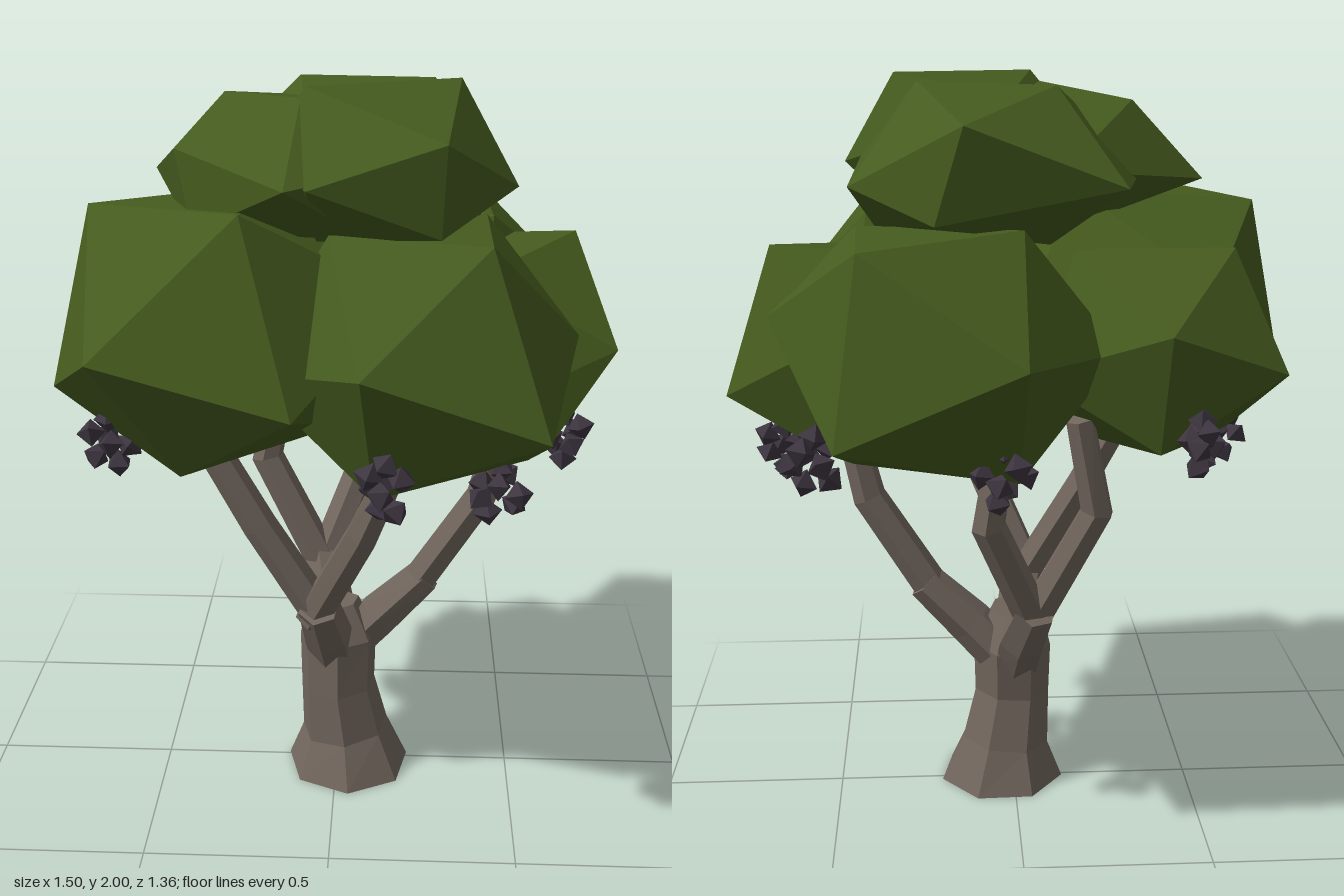
import * as THREE from 'three';

const V = (p) => new THREE.Vector3(...p);

// Recompute one normal per face for a faceted look
function facet(geo) {
  const g = geo.index ? geo.toNonIndexed() : geo;
  g.computeVertexNormals();
  return g;
}

// Faceted limb through points [x, y, z, radius], closed at both ends
function limbGeometry(points, sides, twist) {
  const pos = [], idx = [];
  const c = points.map((p) => V(p.slice(0, 3)));
  const last = points.length - 1;
  c.forEach((p, i) => {
    const t = c[Math.min(i + 1, last)].clone().sub(c[Math.max(i - 1, 0)]).normalize();
    if (p.y === 0) t.set(0, 1, 0);
    const u = new THREE.Vector3(1, 0, 0).addScaledVector(t, -t.x).normalize();
    const v = t.clone().cross(u);
    for (let k = 0; k < sides; k++) {
      const a = twist + (k / sides) * Math.PI * 2;
      const q = p.clone()
        .addScaledVector(u, Math.cos(a) * points[i][3])
        .addScaledVector(v, Math.sin(a) * points[i][3]);
      pos.push(q.x, q.y, q.z);
    }
  });
  for (let i = 0; i < last; i++) {
    for (let k = 0; k < sides; k++) {
      const a = i * sides + k, b = i * sides + (k + 1) % sides;
      idx.push(a, b, b + sides, a, b + sides, a + sides);
    }
  }
  for (let k = 1; k < sides - 1; k++) {
    const e = last * sides;
    idx.push(0, k + 1, k, e, e + k, e + k + 1);
  }
  const g = new THREE.BufferGeometry();
  g.setAttribute('position', new THREE.Float32BufferAttribute(pos, 3));
  g.setIndex(idx);
  return facet(g);
}

// Right-handed basis whose x follows a and whose y leans towards b
function basis(a, b) {
  const x = a.clone().normalize();
  const z = x.clone().cross(b).normalize();
  return new THREE.Matrix4().makeBasis(x, z.clone().cross(x), z);
}

// Squashed icosahedron with an edge along the first two corners;
// its nearest points are then pulled onto all the corners
function clumpGeometry(center, size, ...corners) {
  const c = V(center), s = V(size);
  const local = (w) => V(w).sub(c).divide(s);
  const phi = (1 + Math.sqrt(5)) / 2;
  const from = basis(V([1, phi, 0]), V([-1, phi, 0]));
  const turn = basis(local(corners[0]), local(corners[1])).multiply(from.transpose());
  const g = new THREE.IcosahedronGeometry(1, 0);
  g.applyMatrix4(turn);
  g.scale(...size);
  g.translate(...center);
  const p = g.attributes.position;
  const at = (i) => new THREE.Vector3().fromBufferAttribute(p, i);
  for (const corner of corners) {
    const w = V(corner);
    const gaps = Array.from({ length: p.count }, (_, i) => at(i).distanceTo(w));
    const nearest = at(gaps.indexOf(Math.min(...gaps)));
    for (let i = 0; i < p.count; i++) {
      if (at(i).distanceTo(nearest) < 1e-3) p.setXYZ(i, ...corner);
    }
  }
  return facet(g);
}

export function createModel() {
  const tree = new THREE.Group();
  tree.name = 'tree';
  const bark = new THREE.MeshStandardMaterial({ color: 0x71665d });
  bark.name = 'bark';
  const leaf = new THREE.MeshStandardMaterial({ color: 0x455b1e });
  leaf.name = 'leaf green';
  const berry = new THREE.MeshStandardMaterial({ color: 0x3d3540 });
  berry.name = 'dark berry';

  const add = (parent, name, geo, mat) => {
    const m = new THREE.Mesh(geo, mat);
    m.name = name;
    parent.add(m);
    return m;
  };

  // Trunk with a flared foot
  add(tree, 'trunk', limbGeometry([
    [0.035, 0, 0.025, 0.178], [0.025, 0.12, 0.02, 0.126], [0.005, 0.27, 0.03, 0.108],
    [0.005, 0.42, 0.02, 0.112], [-0.01, 0.52, 0.01, 0.075],
  ], 7, 0.25), bark);

  // Forks leaving the trunk, then the limbs that carry the leaves
  const limbs = {
    sideFork: [[0.03, 0.38, 0, 0.065], [0.12, 0.48, 0.01, 0.065], [0.25, 0.61, 0.01, 0.053]],
    sideLimb: [[0.21, 0.56, 0.01, 0.05], [0.4, 0.86, 0.02, 0.047], [0.46, 1.12, 0.03, 0.038]],
    frontFork: [[-0.01, 0.38, 0.05, 0.068], [-0.02, 0.47, 0.11, 0.068], [-0.04, 0.6, 0.2, 0.058]],
    frontLimb: [[-0.06, 0.55, 0.17, 0.05], [0.08, 0.86, 0.29, 0.047], [0.18, 1.12, 0.35, 0.038]],
    frontOuterLimb: [[-0.03, 0.55, 0.17, 0.05], [-0.2, 0.83, 0.175, 0.047], [-0.36, 1.12, 0.17, 0.042]],
    backFork: [[-0.01, 0.38, -0.02, 0.068], [-0.02, 0.47, -0.09, 0.068], [-0.05, 0.6, -0.19, 0.058]],
    backLimb: [[-0.05, 0.55, -0.16, 0.05], [0.08, 0.87, -0.28, 0.047], [0.04, 1.14, -0.3, 0.039]],
    backOuterLimb: [[-0.04, 0.55, -0.16, 0.05], [-0.21, 0.88, -0.2, 0.047], [-0.16, 1.14, -0.22, 0.039]],
  };
  const branches = new THREE.Group();
  branches.name = 'branches';
  tree.add(branches);
  for (const [name, pts] of Object.entries(limbs)) {
    add(branches, name, limbGeometry(pts, 6, 0.3), bark);
  }

  // Leaf clumps: centre, half sizes, then corners
  const clumps = {
    frontRightClump: [[-0.29, 1.385, 0.15], [0.49, 0.37, 0.49], [-0.57, 1.39, 0.53], [-0.08, 1.28, 0.6],
      [-0.75, 1.19, 0.1], [-0.64, 1.67, 0.04], [-0.21, 1.73, 0.43], [-0.38, 1.04, 0.35]],
    frontLeftClump: [[0.25, 1.35, 0.26], [0.47, 0.37, 0.47], [0.08, 1.41, 0.68], [0.52, 1.25, 0.635],
      [0.38, 1.67, 0.47], [0.61, 1.4, 0.26]],
    backLeftClump: [[0.21, 1.33, -0.26], [0.47, 0.36, 0.47], [0, 1.37, -0.68], [0.45, 1.17, -0.63],
      [0.39, 1.62, -0.53], [0.63, 1.42, -0.24]],
    backRightClump: [[-0.36, 1.31, -0.1], [0.38, 0.32, 0.38], [-0.68, 1.27, -0.31], [-0.36, 1.4, -0.455]],
    leftClump: [[0.42, 1.3, -0.03], [0.38, 0.32, 0.38], [0.63, 1.58, -0.1], [0.75, 1.2, -0.17],
      [0.72, 1.34, 0.19], [0.56, 1.12, 0.27]],
    topBackClump: [[0.08, 1.78, -0.08], [0.45, 0.22, 0.45], [0.14, 1.9, -0.48], [-0.25, 1.75, -0.43],
      [0.42, 1.74, -0.25], [-0.1, 1.975, -0.14]],
    topRightClump: [[-0.1, 1.79, 0.1], [0.41, 0.2, 0.41], [-0.48, 1.74, -0.09], [-0.38, 1.85, 0.25]],
    topFrontClump: [[0.14, 1.81, 0.2], [0.35, 0.215, 0.35], [0.27, 1.9, 0.47], [-0.06, 2, 0.27],
      [0.31, 2, 0.1], [0.45, 1.76, 0.22]],
  };
  const crown = new THREE.Group();
  crown.name = 'crown';
  tree.add(crown);
  for (const [name, c] of Object.entries(clumps)) {
    add(crown, name, clumpGeometry(...c), leaf);
  }

  // Hanging berry clusters: position and horizontal spread
  const clusters = [
    [-0.58, 1.09, 0.24, 0.85], [-0.44, 1.13, -0.44, 0.5], [0.14, 1.12, 0.6, 0.7],
    [0.43, 1, 0.31, 0.95], [0.62, 1.02, -0.04, 0.9], [0.51, 1.1, -0.44, 0.8],
    [0.05, 1.07, -0.49, 1], [-0.55, 1.05, -0.01, 0.95],
  ];
  const offsets = [
    [0, 0.06, 0], [-0.05, 0.03, 0.02], [0.045, 0.035, -0.035], [0.015, 0.01, 0.055],
    [-0.015, 0, -0.055], [0.065, -0.005, 0.01], [-0.045, -0.045, -0.01], [0.03, -0.055, 0.015],
  ];
  const bead = facet(new THREE.OctahedronGeometry(0.038, 0));
  clusters.forEach(([x, y, z, spread], i) => {
    const bunch = new THREE.Group();
    bunch.name = 'berryCluster' + (i + 1);
    bunch.position.set(x, y, z);
    bunch.rotation.y = i * 1.3;
    offsets.forEach((o, k) => {
      const b = add(bunch, 'berry', bead, berry);
      b.position.set(o[0] * spread, o[1], o[2] * spread);
      b.rotation.set(k * 0.9, k * 1.7, i);
    });
    tree.add(bunch);
  });

  return tree;
}
